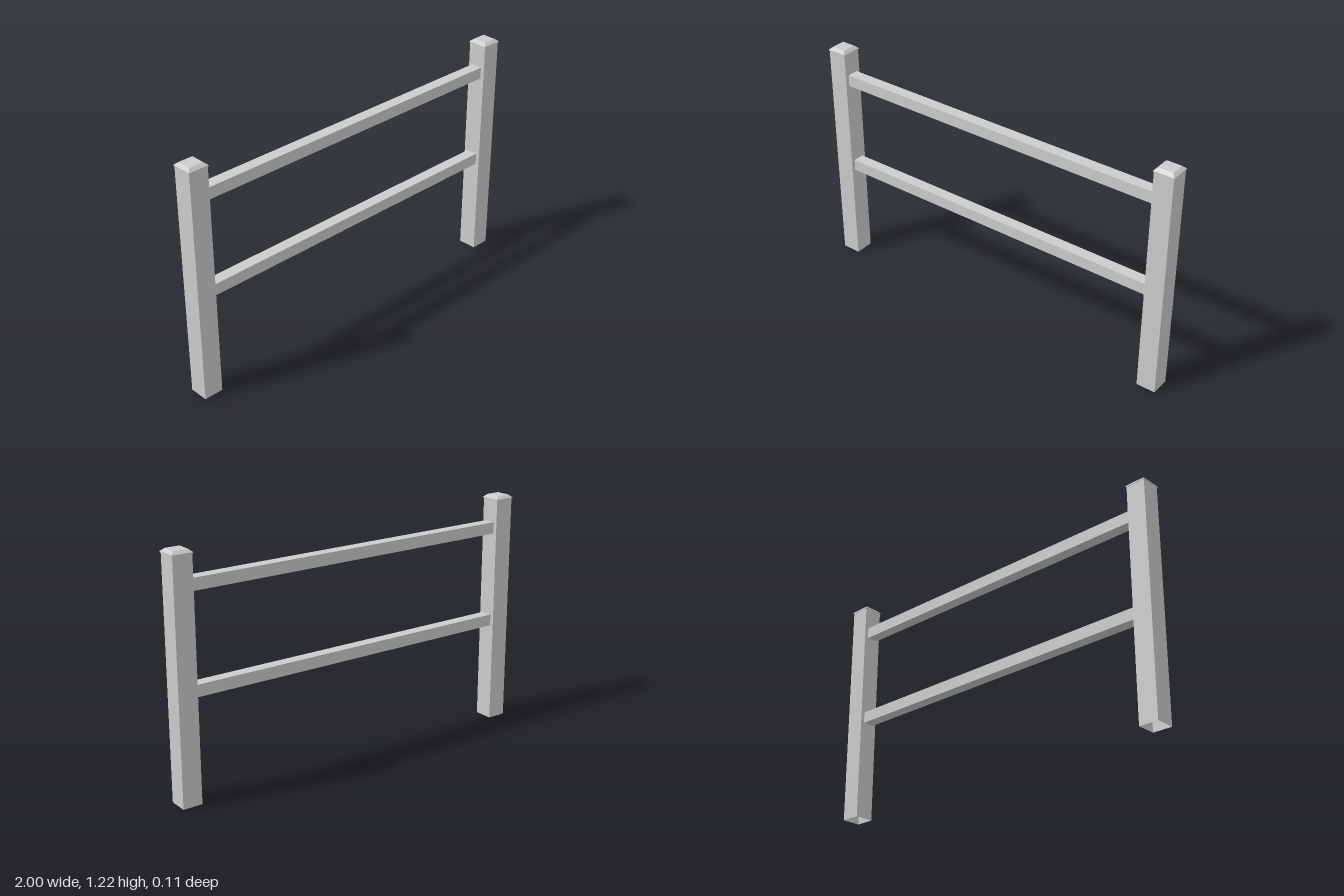
import * as THREE from 'three';

const material = new THREE.MeshStandardMaterial({ color: 0xcccccc, flatShading: true, side: THREE.DoubleSide });

// Square prism or frustum standing on its base, given half widths
function squarePrism(name, halfTop, halfBottom, y0, y1, open = false) {
  const r = Math.SQRT2;
  const geometry = new THREE.CylinderGeometry(halfTop * r, halfBottom * r, y1 - y0, 4, 1, open);
  geometry.rotateY(Math.PI / 4);
  geometry.translate(0, (y0 + y1) / 2, 0);
  const mesh = new THREE.Mesh(geometry, material);
  mesh.name = name;
  return mesh;
}

export function createModel() {
  const fence = new THREE.Group();
  fence.name = 'fencePanel';

  // Hollow posts, open at the foot, each with a bevelled cap
  for (const side of [-1, 1]) {
    const post = new THREE.Group();
    post.name = side > 0 ? 'leftPost' : 'rightPost';
    post.position.x = side * 0.947;
    post.add(squarePrism('postTube', 0.05, 0.05, 0, 1.195, true));
    post.add(squarePrism('capRim', 0.053, 0.053, 1.195, 1.201));
    post.add(squarePrism('capBevel', 0.037, 0.053, 1.201, 1.215));
    fence.add(post);
  }

  // Two square rails between the posts
  for (const [name, y] of [['lowerRail', 0.55], ['upperRail', 1.049]]) {
    const rail = new THREE.Mesh(new THREE.BoxGeometry(1.794, 0.06, 0.06), material);
    rail.name = name;
    rail.position.y = y;
    fence.add(rail);
  }
  return fence;
}
